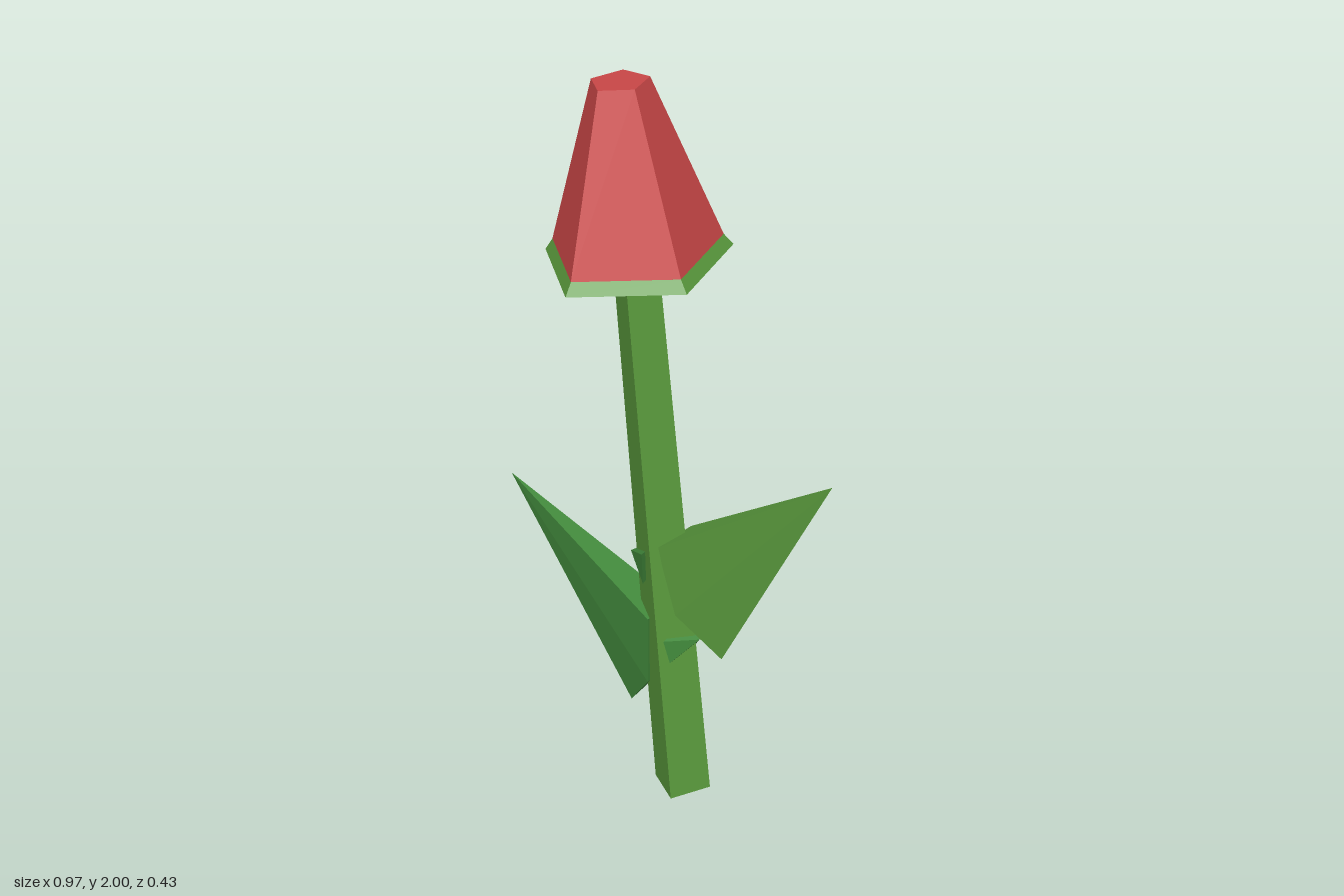
import * as THREE from 'three';
import { ConvexGeometry } from 'three/addons/geometries/ConvexGeometry.js';

export function createModel() {
  const model = new THREE.Group();
  model.name = 'flower';

  const paint = (name, color) => {
    const m = new THREE.MeshStandardMaterial({ color, flatShading: true });
    m.name = name;
    return m;
  };
  const stemGreen = paint('stem green', 0x5a9a3d);
  const leafGreen = paint('leaf green', 0x428a3c);
  const petalRed = paint('petal red', 0xcc4848);

  const add = (parent, name, geometry, material) => {
    const mesh = new THREE.Mesh(geometry, material);
    mesh.name = name;
    parent.add(mesh);
    return mesh;
  };

  // Stem and blossom share one leaning axis
  const stalk = new THREE.Group();
  stalk.name = 'stalk';
  stalk.position.set(0.085, 0.008, -0.057);
  stalk.rotation.set(0.021, 0, 0.089);
  model.add(stalk);

  const section = (name, topR, bottomR, y, height, sides, turn, material) => {
    const g = new THREE.CylinderGeometry(topR, bottomR, height, sides, 1, false, turn);
    g.translate(0, y + height / 2, 0);
    return add(stalk, name, g, material);
  };
  section('stem', 0.06, 0.08, 0, 1.56, 4, 0.314, stemGreen);
  section('calyx', 0.215, 0.237, 1.553, 0.03, 5, 0, stemGreen);
  section('petals', 0.071, 0.215, 1.583, 0.413, 5, 0, petalRed);

  // Leaves and thorns are small convex solids
  const solid = (name, points, material) =>
    add(model, name, new ConvexGeometry(points.map((p) => new THREE.Vector3(...p))), material);

  // Leaf corners: tip, keel point, then front and back root pairs
  solid('leftLeaf', [
    [0.48, 1.1, -0.125], [0.2, 0.475, -0.07],
    [0.045, 0.79, 0.005], [0.065, 0.812, -0.1],
    [0.085, 0.585, -0.02], [0.095, 0.595, -0.09],
  ], stemGreen);
  solid('rightLeaf', [
    [-0.485, 0.775, -0.01], [-0.085, 0.21, -0.04],
    [0.018, 0.555, 0.01], [0.01, 0.555, -0.098],
    [0, 0.33, -0.01], [-0.005, 0.33, -0.08],
  ], leafGreen);

  // Thorns: tip, then the four corners of the base
  solid('leftThorn', [
    [0.125, 0.5, -0.07],
    [0.075, 0.515, 0.014], [0.087, 0.445, 0.002],
    [0.07, 0.53, -0.117], [0.08, 0.44, -0.106],
  ], leafGreen);
  solid('rightThorn', [
    [-0.06, 0.725, -0.012],
    [0.015, 0.768, 0.03], [0.012, 0.672, 0.022],
    [-0.015, 0.748, -0.068], [-0.012, 0.672, -0.058],
  ], leafGreen);

  return model;
}
